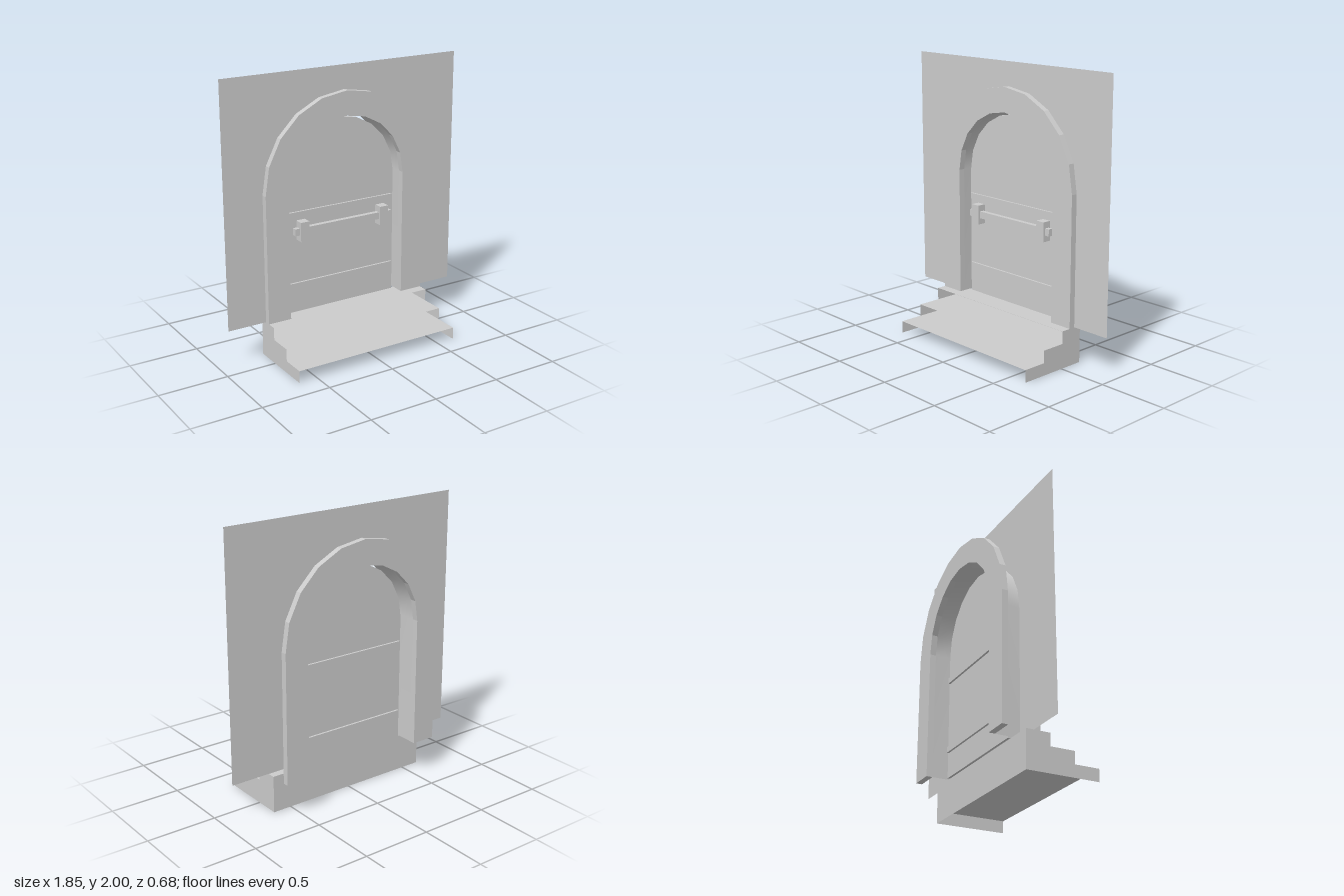
import * as THREE from 'three';

const FLOOR = 0.265, SPRING = 1.185;
const grey = new THREE.MeshStandardMaterial({ color: 0xcccccc, side: THREE.DoubleSide });

// Points of a round arch from its right foot over the top to its left foot
function archPoints(rx, ry) {
  const pts = [new THREE.Vector2(rx, FLOOR)];
  for (let i = 0; i <= 10; i++) {
    const a = (Math.PI * i) / 10;
    pts.push(new THREE.Vector2(rx * Math.cos(a), SPRING + ry * Math.sin(a)));
  }
  pts.push(new THREE.Vector2(-rx, FLOOR));
  return pts;
}

const OUTER = archPoints(0.637, 0.645);
const OPENING = archPoints(0.463, 0.47);
const LEAF = archPoints(0.438, 0.445);

export function createModel() {
  const model = new THREE.Group();

  const add = (name, geometry, parent = model) => {
    const mesh = new THREE.Mesh(geometry, grey);
    mesh.name = name;
    parent.add(mesh);
    return mesh;
  };
  // Box given by its limits on each axis
  const box = (name, x0, x1, y0, y1, z0, z1, parent) => {
    const mesh = add(name, new THREE.BoxGeometry(x1 - x0, y1 - y0, z1 - z0), parent);
    mesh.position.set((x0 + x1) / 2, (y0 + y1) / 2, (z0 + z1) / 2);
  };
  const extrude = (name, points, z0, z1, parent) => {
    const geometry = new THREE.ExtrudeGeometry(new THREE.Shape(points), { depth: z1 - z0, bevelEnabled: false });
    add(name, geometry.translate(0, 0, z0), parent);
  };

  // Thin wall around the opening
  const wallOutline = [
    new THREE.Vector2(0.925, FLOOR), new THREE.Vector2(0.925, 2),
    new THREE.Vector2(-0.925, 2), new THREE.Vector2(-0.925, FLOOR),
    ...[...OPENING].reverse(),
  ];
  add('wall', new THREE.ShapeGeometry(new THREE.Shape(wallOutline))).position.z = -0.12;

  // Arched trim on both ends of the passage
  const band = [...OUTER, ...[...OPENING].reverse()];
  extrude('frontTrim', band, -0.12, -0.075);
  extrude('backTrim', band, -0.342, -0.298);

  // Open lining of the passage
  const positions = [], index = [];
  OPENING.forEach((p, i) => {
    positions.push(p.x, p.y, -0.12, p.x, p.y, -0.298);
    const k = 2 * i;
    if (i) index.push(k - 2, k - 1, k, k, k - 1, k + 1);
  });
  const lining = new THREE.BufferGeometry();
  lining.setAttribute('position', new THREE.Float32BufferAttribute(positions, 3));
  lining.setIndex(index);
  lining.computeVertexNormals();
  add('passageLining', lining);

  // Door leaf with cross boards
  const door = new THREE.Group();
  door.name = 'door';
  model.add(door);
  extrude('doorLeaf', LEAF, -0.195, -0.165, door);
  for (const y of [0.445, 0.968]) box('crossBoard', -0.425, 0.425, y, y + 0.042, -0.21, -0.15, door);

  // Locking bar held by two brackets
  box('lockingBar', -0.395, 0.395, 0.85, 0.9, -0.15, -0.115, door);
  for (const s of [-1, 1]) {
    box('barBracket', s * 0.325 - 0.034, s * 0.325 + 0.034, 0.805, 0.945, -0.165, -0.1, door);
  }

  // Steps: open fronts, full depth treads, stepped sides and a back panel
  const steps = new THREE.Group();
  steps.name = 'steps';
  model.add(steps);
  const W = 0.637, BACK = -0.177, D = [0.342, 0.168, -0.005], H = [0.088, 0.176, FLOOR];
  const profile = [new THREE.Vector2(-BACK, 0), new THREE.Vector2(-BACK, FLOOR)];
  for (let i = 2; i >= 0; i--) {
    profile.push(new THREE.Vector2(-D[i], H[i]), new THREE.Vector2(-D[i], i ? H[i - 1] : 0));
    const tread = new THREE.PlaneGeometry(2 * W, D[i] - BACK).rotateX(-Math.PI / 2);
    add('tread', tread, steps).position.set(0, H[i], (D[i] + BACK) / 2);
  }
  for (const s of [-1, 1]) {
    const side = new THREE.ShapeGeometry(new THREE.Shape(profile)).rotateY(Math.PI / 2);
    if (s < 0) side.index.array.reverse(), side.computeVertexNormals();
    add('stepSide', side, steps).position.x = s * W;
  }
  const back = new THREE.PlaneGeometry(2 * W, FLOOR).rotateY(Math.PI);
  add('stepBack', back, steps).position.set(0, FLOOR / 2, BACK);

  return model;
}
